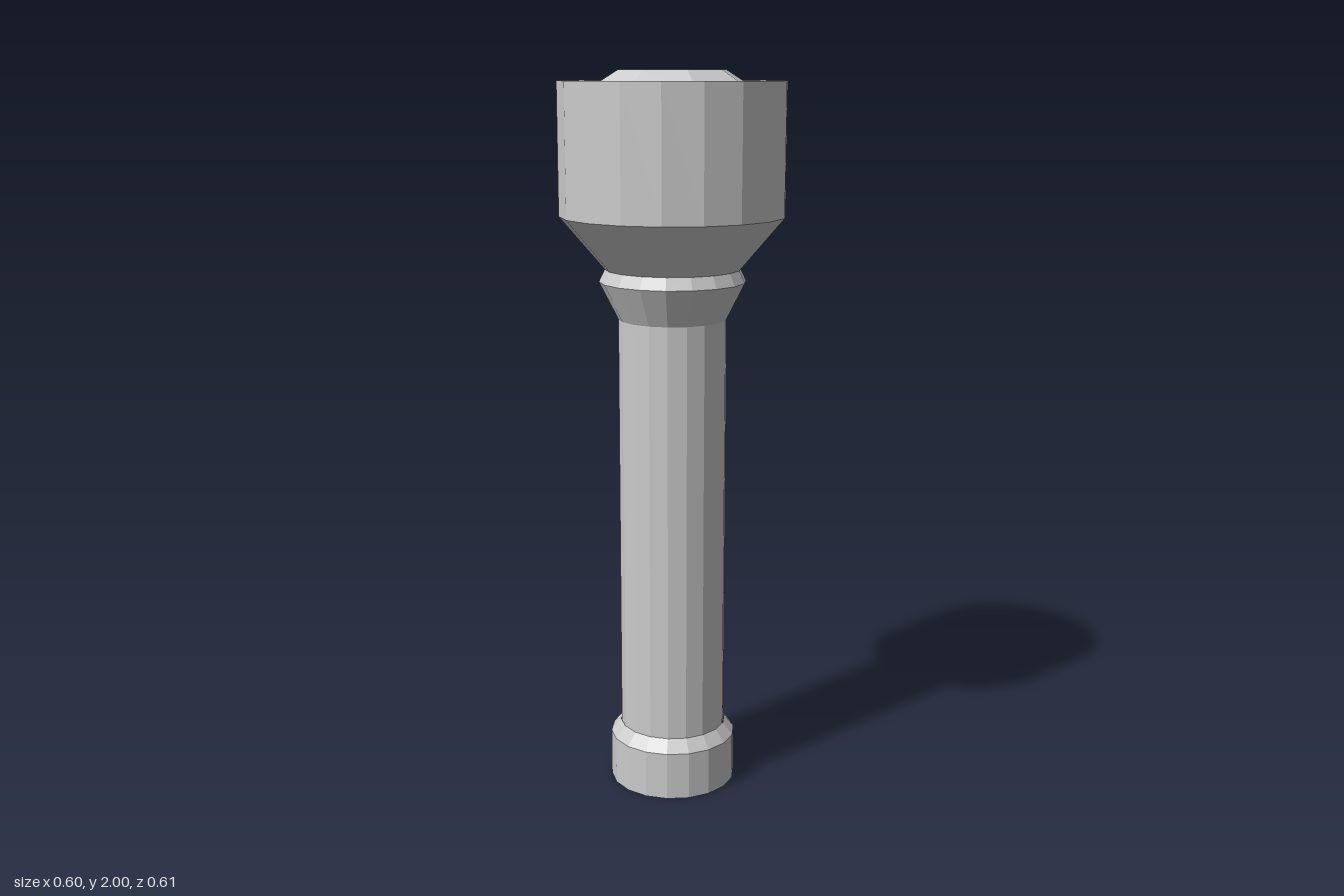
import * as THREE from 'three';

const material = new THREE.MeshStandardMaterial({ color: 0xcccccc, flatShading: true });

// Faceted solid of revolution; the profile lists [radius, height] from bottom to top
function turned(name, profile, sides = 18) {
  const points = profile.map(([r, y]) => new THREE.Vector2(r, y));
  const mesh = new THREE.Mesh(new THREE.LatheGeometry(points, sides), material);
  mesh.name = name;
  return mesh;
}

export function createModel() {
  const flashlight = new THREE.Group();
  flashlight.name = 'flashlight';

  flashlight.add(
    // End cap with a chamfered shoulder
    turned('endCap', [[0, 0], [0.178, 0], [0.178, 0.135], [0.15, 0.17]]),
    // Long grip tube
    turned('handle', [[0.148, 0.16], [0.148, 1.345]]),
    // Flared collar under the head
    turned('collar', [[0.148, 1.342], [0.2, 1.445], [0.184, 1.478]]),
    // Flared head, flat rim and recessed inner wall
    turned('head', [
      [0.184, 1.478], [0.305, 1.62], [0.305, 1.972],
      [0.246, 1.972], [0.246, 1.9], [0, 1.9],
    ]),
    // Eight-sided domed lens, its edge sunk into the rim
    turned('lens', [[0.27, 1.925], [0.147, 2], [0, 2]], 8),
  );
  return flashlight;
}
